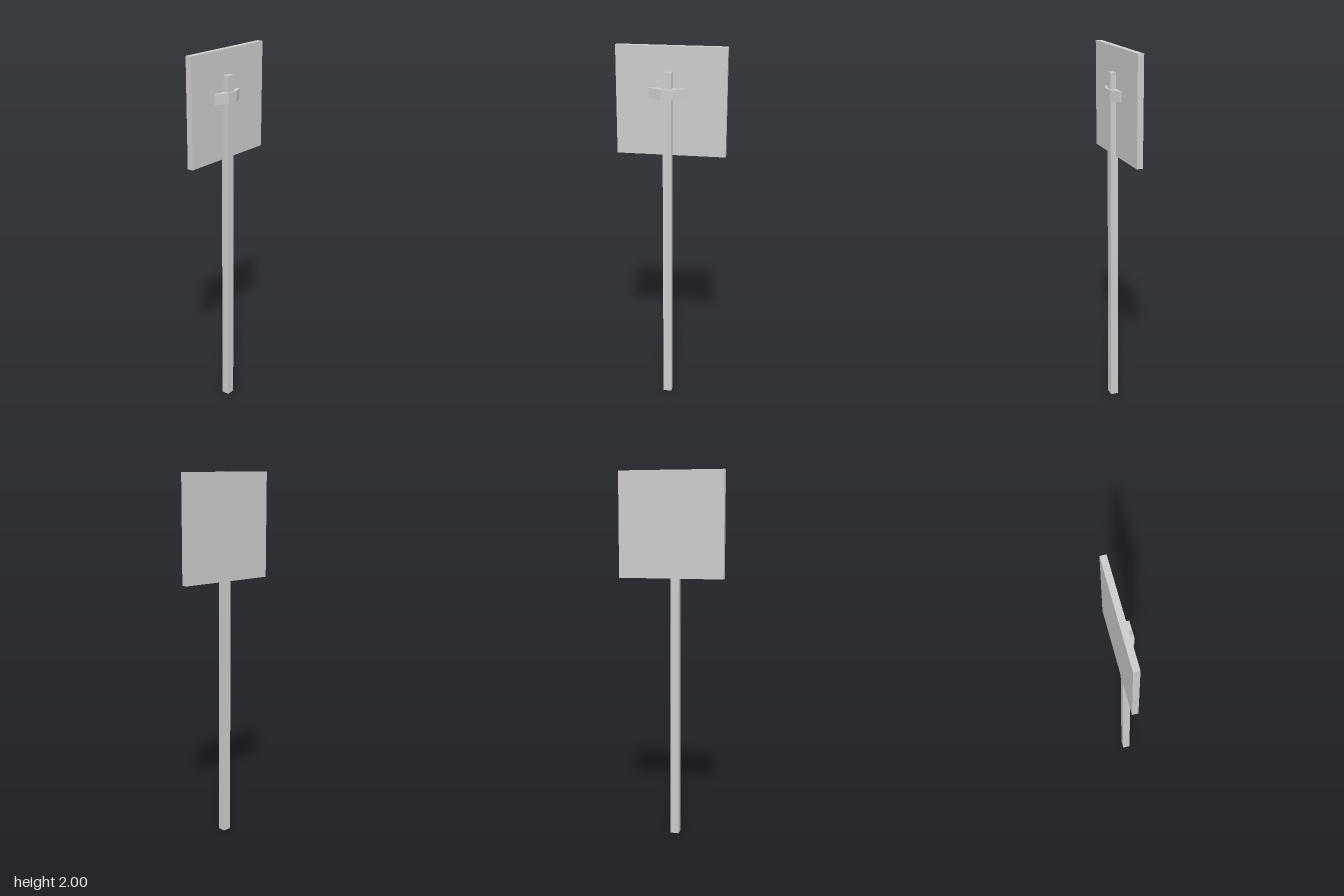
import * as THREE from 'three';

const material = new THREE.MeshStandardMaterial({ color: 0xcccccc, flatShading: true });

// Box given by its minimum and maximum corners
function box(name, [x0, y0, z0], [x1, y1, z1]) {
  const mesh = new THREE.Mesh(new THREE.BoxGeometry(x1 - x0, y1 - y0, z1 - z0), material);
  mesh.position.set((x0 + x1) / 2, (y0 + y1) / 2, (z0 + z1) / 2);
  mesh.name = name;
  return mesh;
}

export function createModel() {
  const model = new THREE.Group();
  model.name = 'signpost';

  // Square post and flat sign board behind it
  model.add(box('post', [-0.04, 0, -0.017], [0.007, 1.87, 0.025]));
  model.add(box('signBoard', [-0.289, 1.43, -0.038], [0.289, 2, -0.005]));

  // Bracket strapped around the post: chamfered plan extruded upwards
  const centre = -0.0165, halfWidth = 0.0995, halfFront = 0.033;
  const plan = new THREE.Shape([
    [-halfWidth, -0.005], [-halfWidth, 0.004], [-halfFront, 0.036],
    [halfFront, 0.036], [halfWidth, 0.004], [halfWidth, -0.005],
  ].map(([x, z]) => new THREE.Vector2(x, -z)));
  const geometry = new THREE.ExtrudeGeometry(plan, { depth: 0.055, bevelEnabled: false });
  geometry.rotateX(-Math.PI / 2);
  const bracket = new THREE.Mesh(geometry, material);
  bracket.name = 'bracket';
  bracket.position.set(centre, 1.731, 0);
  model.add(bracket);

  return model;
}
